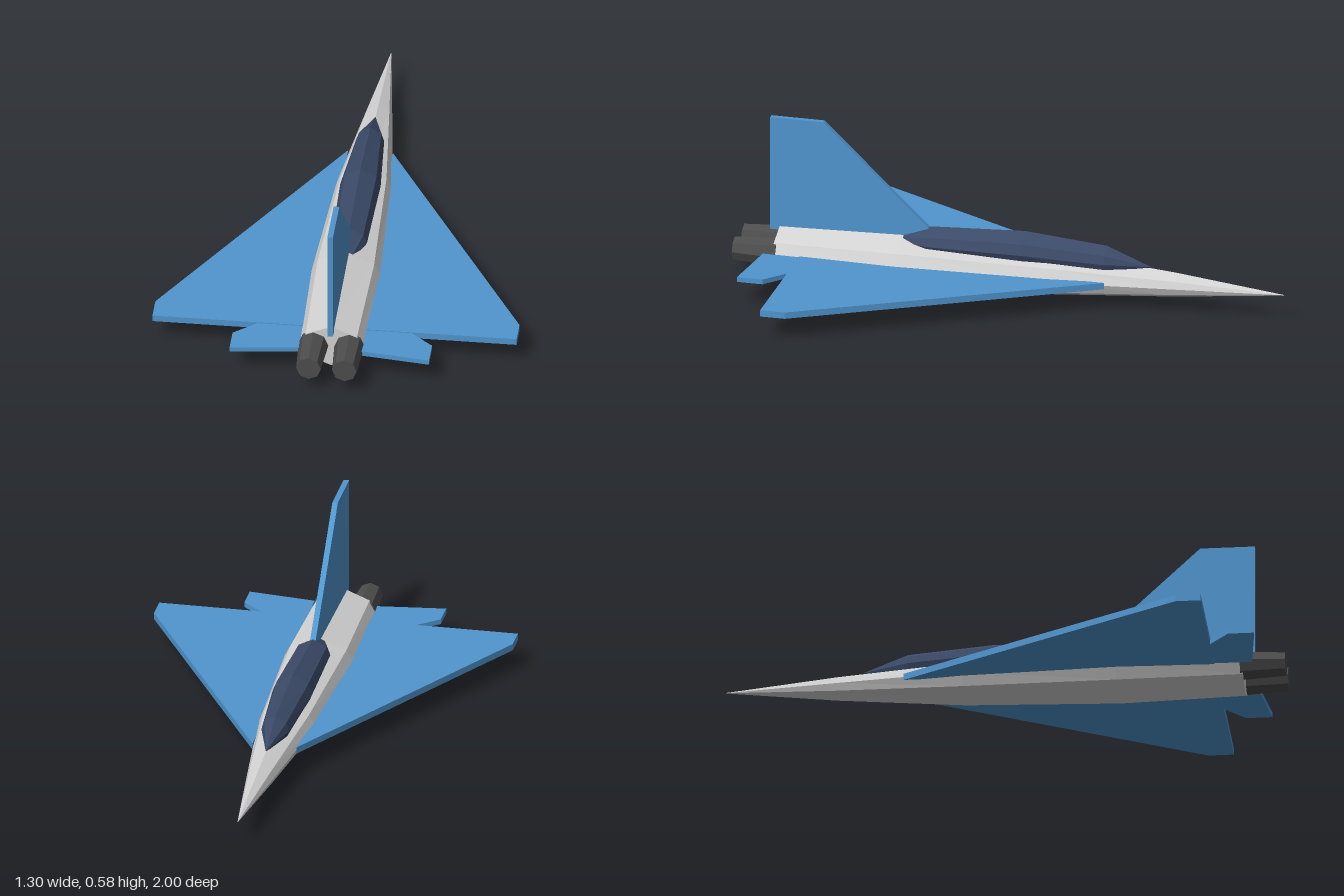
import * as THREE from 'three';

const material = (name, color, flatShading = true) => {
  const m = new THREE.MeshStandardMaterial({ color, flatShading });
  m.name = name;
  return m;
};

// Eight-sided section, wider at the shoulders than a plain octagon
const SECTION = [[1, 0], [0.79, 0.55], [0, 1], [-0.79, 0.55], [-1, 0], [-0.79, -0.55], [0, -1], [0.79, -0.55]];

// Skin a row of sections [z, centreY, halfWidth, halfHeight], running from nose to tail
function loft(rows) {
  const n = SECTION.length, positions = [], index = [];
  for (const [z, y, w, h] of rows) for (const [px, py] of SECTION) positions.push(px * w, y + py * h, z);
  for (let i = 0; i < rows.length - 1; i++) {
    for (let j = 0; j < n; j++) {
      const k = (j + 1) % n, a = i * n + j, b = i * n + k;
      index.push(a, b, b + n, a, b + n, a + n);
    }
  }
  const last = (rows.length - 1) * n;
  for (let j = 1; j < n - 1; j++) {
    index.push(0, j + 1, j);
    index.push(last, last + j, last + j + 1);
  }
  const g = new THREE.BufferGeometry();
  g.setAttribute('position', new THREE.Float32BufferAttribute(positions, 3));
  g.setIndex(index);
  const flat = g.toNonIndexed();
  flat.computeVertexNormals();
  return flat;
}

// Plate cut from an outline, centred on its own thickness
function plate(points, thickness) {
  const shape = new THREE.Shape(points.map(([x, y]) => new THREE.Vector2(x, y)));
  const g = new THREE.ExtrudeGeometry(shape, { depth: thickness, bevelEnabled: false });
  return g.translate(0, 0, -thickness / 2);
}

export function createModel() {
  const model = new THREE.Group();
  model.name = 'jet';
  const grey = material('light grey', 0xd3d3d3);
  const blue = material('wing blue', 0x5096cf);
  const navy = material('canopy navy', 0x3b4a68);
  const dark = material('nozzle grey', 0x4d4d4d);

  const add = (name, geometry, mat) => {
    const mesh = new THREE.Mesh(geometry, mat);
    mesh.name = name;
    model.add(mesh);
    return mesh;
  };

  // Body and canopy; the nose points to -z
  add('fuselage', loft([
    [-1, 0.1, 0.001, 0.001],
    [-0.6, 0.1, 0.05, 0.046],
    [-0.15, 0.1, 0.103, 0.083],
    [0.4, 0.1, 0.128, 0.095],
    [0.85, 0.1, 0.116, 0.082],
  ]), grey);
  add('canopy', loft([
    [-0.51, 0.157, 0.001, 0.001],
    [-0.35, 0.167, 0.05, 0.055],
    [-0.05, 0.18, 0.072, 0.068],
    [0.3, 0.175, 0.064, 0.055],
    [0.4, 0.172, 0.028, 0.021],
  ]), navy);

  // Flat surfaces and engines, mirrored left and right
  const wing = [[0.08, -0.36], [0.65, 0.66], [0.65, 0.75], [0.08, 0.75]];
  const stabilizer = [[0.1, 0.6], [0.356, 0.82], [0.356, 0.914], [0.1, 0.883]];
  for (const [side, s] of [['left', 1], ['right', -1]]) {
    const outline = (pts) => pts.map(([x, z]) => [s * x, z]);
    add(side + 'Wing', plate(outline(wing), 0.024).rotateX(Math.PI / 2).translate(0, 0.1, 0), blue);
    add(side + 'Stabilizer', plate(outline(stabilizer), 0.018).rotateX(Math.PI / 2).translate(0, 0.1, 0), blue);
    const nozzle = new THREE.CylinderGeometry(0.044, 0.054, 0.16, 8).rotateX(Math.PI / 2);
    add(side + 'Nozzle', nozzle.translate(s * 0.064, 0.1, 0.92), dark);
  }

  // Upright tail fin, outline given as (-z, y)
  const fin = [[-0.885, 0.165], [-0.24, 0.165], [-0.69, 0.59], [-0.885, 0.59]];
  add('tailFin', plate(fin, 0.02).rotateY(Math.PI / 2), blue);

  return model;
}
